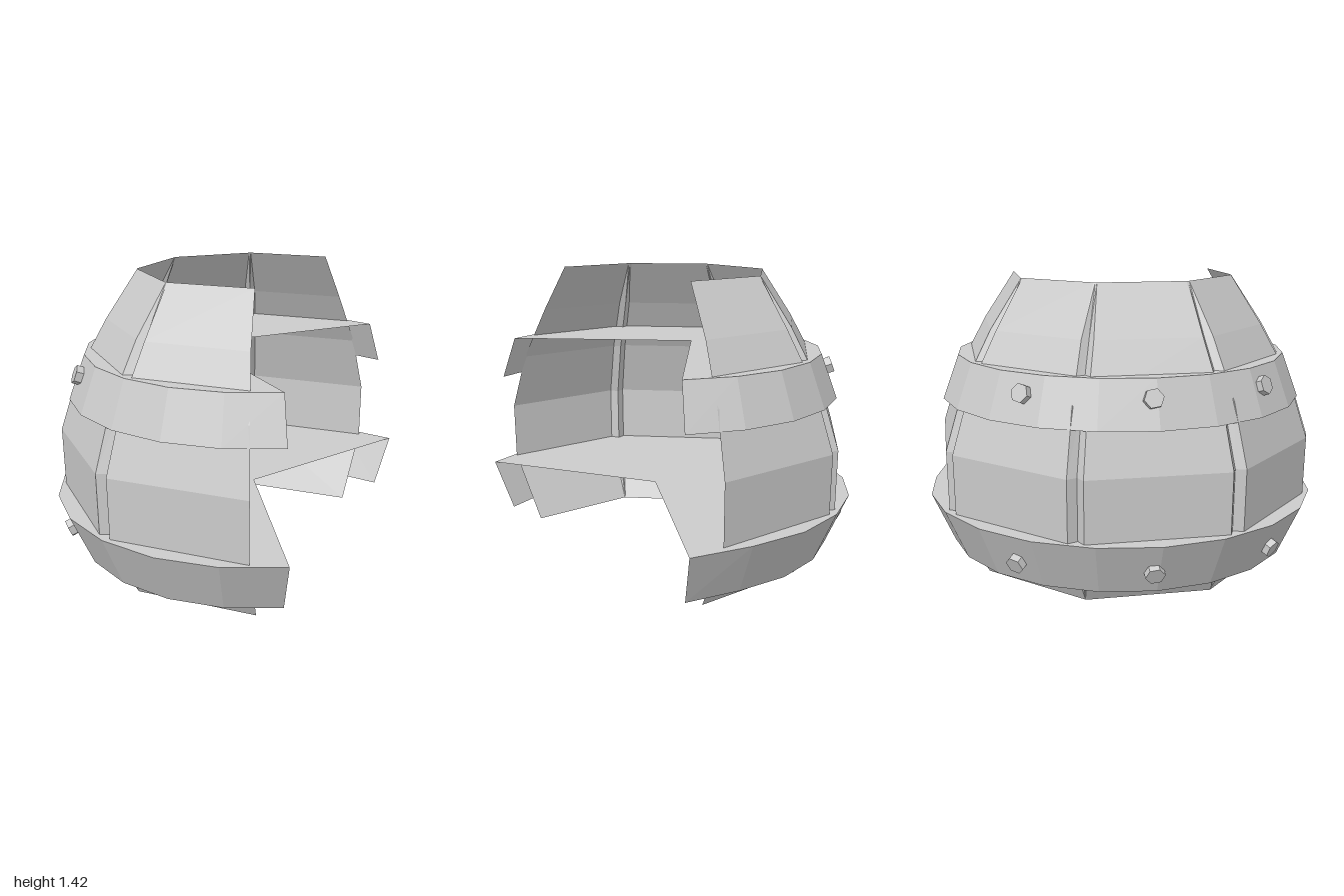
import * as THREE from 'three';

const CX = -0.02, CZ = 0.09, RAD = Math.PI / 180;
const material = new THREE.MeshStandardMaterial({ color: 0xcccccc, flatShading: true, side: THREE.DoubleSide });

// Point at an angle (degrees, 0 = left side, 90 = back) around the barrel axis, shifted along the tangent
function polar(deg, r, y, shift = 0) {
  const c = Math.cos(deg * RAD), s = Math.sin(deg * RAD);
  return new THREE.Vector3(CX + r * c - shift * s, y, CZ - r * s - shift * c);
}

// Flat-shaded sheet through columns of points, columns running round, points running up
function sheet(name, columns) {
  const points = [];
  for (let i = 0; i < columns.length - 1; i++) {
    const a = columns[i], b = columns[i + 1];
    for (let j = 0; j < a.length - 1; j++) {
      points.push(a[j], b[j], b[j + 1], a[j], b[j + 1], a[j + 1]);
    }
  }
  const geometry = new THREE.BufferGeometry().setFromPoints(points);
  geometry.computeVertexNormals();
  const mesh = new THREE.Mesh(geometry, material);
  mesh.name = name;
  return mesh;
}

// Barrel profile: height, radius, half width of the groove, groove depth
const PROFILE = [
  [0, 0.768, 0.003, 0],
  [0.34, 0.95, 0.037, 0.035],
  [0.63, 0.955, 0.037, 0.035],
  [0.92, 0.86, 0.034, 0.035],
  [1.19, 0.71, 0.028, 0.03],
  [1.425, 0.555, 0.008, 0],
];

function staves() {
  const group = new THREE.Group();
  group.name = 'staves';
  const edge = (deg, side) => PROFILE.map(([y, r, w]) => polar(deg, r, y, side * w));
  for (let deg = 0; deg < 225; deg += 45) {
    group.add(sheet('stave', [edge(deg, 1), edge(deg + 45, -1)]));
    if (deg > 0) {
      const valley = PROFILE.map(([y, r, , d]) => polar(deg, r - d, y));
      group.add(sheet('staveGroove', [edge(deg, -1), valley, edge(deg, 1)]));
    }
  }
  return group;
}

// Broken hoop with the flat panel that closes it and its hexagonal rivets
function hoop(name, y0, r0, y1, r1, apex, splay) {
  const group = new THREE.Group();
  group.name = name;
  const start = -7.5, sweep = 240, n = 14;
  const columns = [];
  for (let i = 0; i <= n; i++) {
    const deg = start + sweep * i / n;
    const k = i === 0 ? splay : 0;
    columns.push([polar(deg, r0 + k, y0), polar(deg, r1 + k, y1)]);
  }
  group.add(sheet('hoopBand', columns));

  // Panel: notched polygon from the hoop's upper edge to an inner corner
  const shape = new THREE.Shape([
    ...columns.map(([, p]) => new THREE.Vector2(p.x, -p.z)),
    new THREE.Vector2(apex[0], -apex[1]),
  ]);
  const panel = new THREE.Mesh(new THREE.ShapeGeometry(shape).rotateX(-Math.PI / 2), material);
  panel.position.y = y1;
  panel.name = 'hoopPanel';
  group.add(panel);

  const t = name === 'upperHoop' ? 0.6 : 0.45;
  for (const deg of [71.5, 111, 151]) {
    const rivet = new THREE.Mesh(new THREE.CylinderGeometry(0.045, 0.045, 0.06, 6), material);
    const out = polar(deg, 1, 0).sub(polar(deg, 0, 0));
    const normal = out.multiplyScalar(y1 - y0).setY(r0 - r1).normalize();
    rivet.quaternion.setFromUnitVectors(new THREE.Vector3(0, 1, 0), normal);
    rivet.position.copy(polar(deg, r0 + (r1 - r0) * t - 0.005, y0 + (y1 - y0) * t));
    rivet.name = 'rivet';
    group.add(rivet);
  }
  return group;
}

export function createModel() {
  const model = new THREE.Group();
  model.name = 'brokenBarrel';
  model.add(
    staves(),
    hoop('lowerHoop', 0.09, 0.87, 0.34, 0.98, [-0.02, 0.1], 0.045),
    hoop('upperHoop', 0.83, 0.9, 1.045, 0.82, [-0.18, -0.14], 0),
  );
  return model;
}
